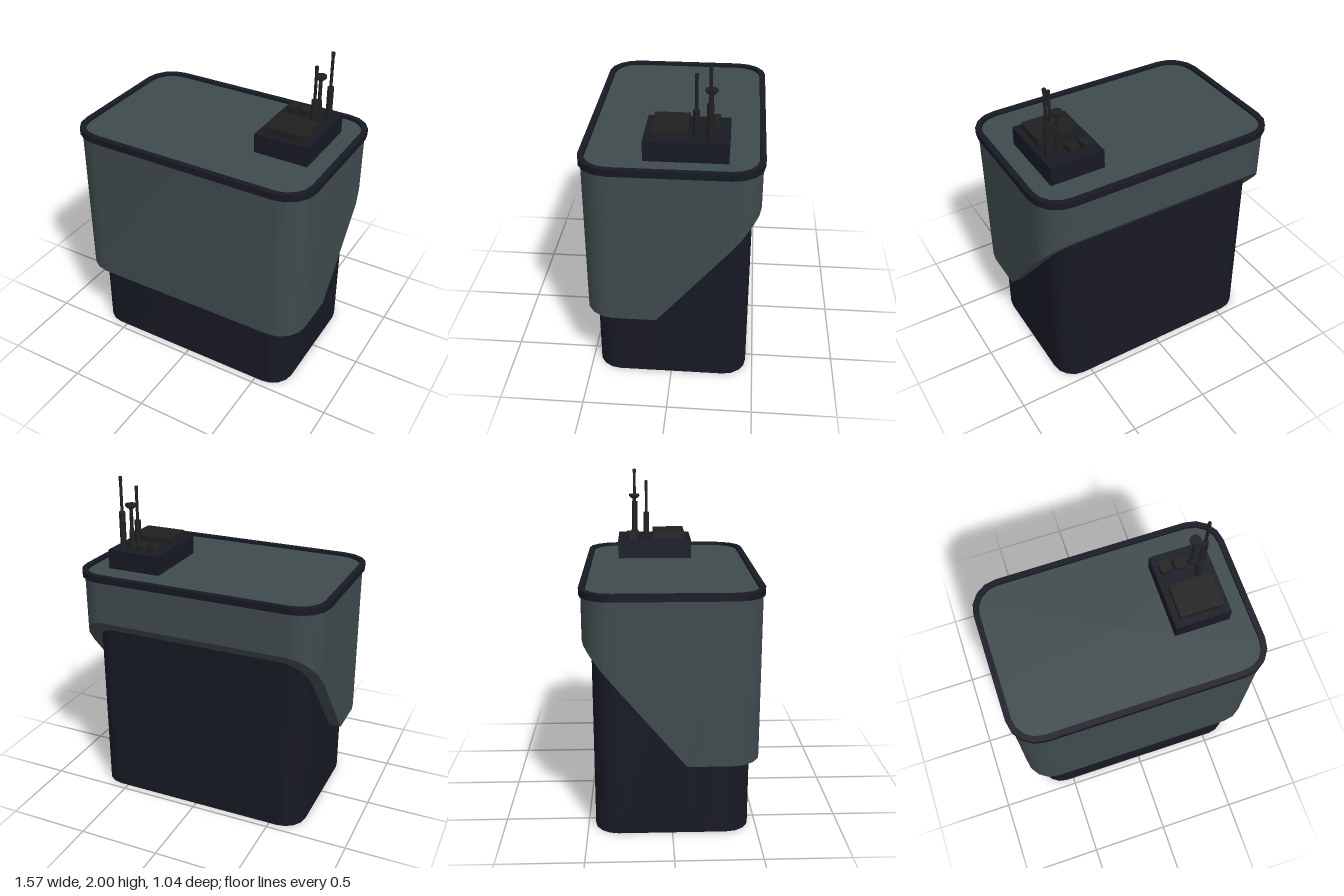
import * as THREE from 'three';
import { mergeGeometries } from 'three/addons/utils/BufferGeometryUtils.js';

const green = new THREE.MeshStandardMaterial({ color: 0x3f4a4d });
const navy = new THREE.MeshStandardMaterial({ color: 0x171924 });
const dark = new THREE.MeshStandardMaterial({ color: 0x202020 });

const BREAK_Z = 0.08; // where the skirt's lower edge starts to climb
const skirtY = (z) => 0.46 + Math.max(0, BREAK_Z - z) * 1.203;

// Rounded-rectangle ring; y is a number or a function of z
function ring(hx, hz, r, y) {
  const pts = [];
  const add = (x, z) => pts.push([x, typeof y === 'function' ? y(z) : y, z]);
  const corners = [[1, 1], [-1, 1], [-1, -1], [1, -1]];
  corners.forEach(([sx, sz], c) => {
    if (c === 0) add(hx, BREAK_Z);
    if (c === 2) add(-hx, BREAK_Z);
    for (let i = 0; i <= 4; i++) {
      const a = (c + i / 4) * Math.PI / 2;
      add(sx * (hx - r) + r * Math.cos(a), sz * (hz - r) + r * Math.sin(a));
    }
  });
  return pts;
}

const centre = (y) => ring(0, 0, 0, y).map(() => [0, y, 0]);

// Closed band between two rings, smooth along its length
function band(lower, upper) {
  const n = lower.length, index = [];
  for (let i = 0; i < n; i++) {
    const j = (i + 1) % n;
    index.push(i, n + i, j, n + i, n + j, j);
  }
  const g = new THREE.BufferGeometry();
  g.setAttribute('position', new THREE.Float32BufferAttribute([...lower, ...upper].flat(), 3));
  g.setIndex(index);
  g.computeVertexNormals();
  return g;
}

// Chain of bands with a crisp edge at every ring
function loft(name, rings, material) {
  const bands = rings.slice(1).map((r, i) => band(rings[i], r));
  const mesh = new THREE.Mesh(mergeGeometries(bands), material);
  mesh.name = name;
  return mesh;
}

function box(name, [x0, x1], [y0, y1], [z0, z1], material) {
  const mesh = new THREE.Mesh(new THREE.BoxGeometry(x1 - x0, y1 - y0, z1 - z0), material);
  mesh.position.set((x0 + x1) / 2, (y0 + y1) / 2, (z0 + z1) / 2);
  mesh.name = name;
  return mesh;
}

// Upright stack of cylinders: sections are [bottom, top, lower radius, upper radius]
function stack(name, x, z, sections) {
  const group = new THREE.Group();
  group.name = name;
  for (const [y0, y1, r0, r1 = r0] of sections) {
    const mesh = new THREE.Mesh(new THREE.CylinderGeometry(r1, r0, y1 - y0, 12), dark);
    mesh.position.set(x, (y0 + y1) / 2, z);
    mesh.name = name + 'Section';
    group.add(mesh);
  }
  return group;
}

// Low block with rounded corners
function roundedKnob(name, x, z, w, d, y0, y1) {
  const r = 0.02, s = new THREE.Shape();
  [[1, 1], [-1, 1], [-1, -1], [1, -1]].forEach(([sx, sz], c) => {
    s.absarc(sx * (w / 2 - r), sz * (d / 2 - r), r, c * Math.PI / 2, (c + 1) * Math.PI / 2);
  });
  const g = new THREE.ExtrudeGeometry(s, { depth: y1 - y0, bevelEnabled: false, curveSegments: 3 });
  g.rotateX(-Math.PI / 2);
  const mesh = new THREE.Mesh(g, dark);
  mesh.position.set(x, y0, z);
  mesh.name = name;
  return mesh;
}

export function createModel() {
  const model = new THREE.Group();
  model.name = 'tower';

  // Inner column
  model.add(loft('column', [
    centre(0), ring(0.69, 0.458, 0.14, 0), ring(0.69, 0.458, 0.14, 1.43),
  ], navy));

  // Outer skirt with slanted rear cut and underside ledge
  model.add(loft('skirt', [
    ring(0.69, 0.458, 0.14, skirtY),
    ring(0.768, 0.508, 0.17, skirtY),
    ring(0.768, 0.508, 0.17, 1.43),
  ], green));

  // Rim and recessed roof
  model.add(loft('rim', [
    ring(0.75, 0.485, 0.15, 1.43),
    ring(0.785, 0.52, 0.185, 1.43),
    ring(0.785, 0.52, 0.185, 1.47),
    ring(0.75, 0.485, 0.15, 1.47),
    ring(0.75, 0.485, 0.15, 1.45),
  ], navy));
  model.add(loft('roof', [ring(0.75, 0.485, 0.15, 1.452), centre(1.452)], green));

  // Equipment box
  model.add(box('equipmentBox', [0.295, 0.635], [1.45, 1.57], [-0.318, 0.157], navy));
  model.add(box('equipmentPanel', [0.335, 0.597], [1.57, 1.612], [-0.09, 0.115], dark));
  for (const x of [0.36, 0.446]) {
    model.add(roundedKnob('hatch', x, -0.222, 0.065, 0.08, 1.57, 1.605));
  }

  // Masts
  model.add(stack('tallAntenna', 0.59, -0.21, [
    [1.57, 1.785, 0.019], [1.785, 1.975, 0.009], [1.975, 2, 0.011],
  ]));
  model.add(stack('shortAntenna', 0.53, -0.132, [
    [1.57, 1.72, 0.019], [1.72, 1.905, 0.009], [1.905, 1.93, 0.011],
  ]));
  model.add(stack('domeMast', 0.525, -0.212, [
    [1.57, 1.605, 0.022], [1.57, 1.68, 0.016], [1.68, 1.82, 0.011],
    [1.815, 1.828, 0.02, 0.034], [1.828, 1.842, 0.034],
  ]));
  return model;
}
